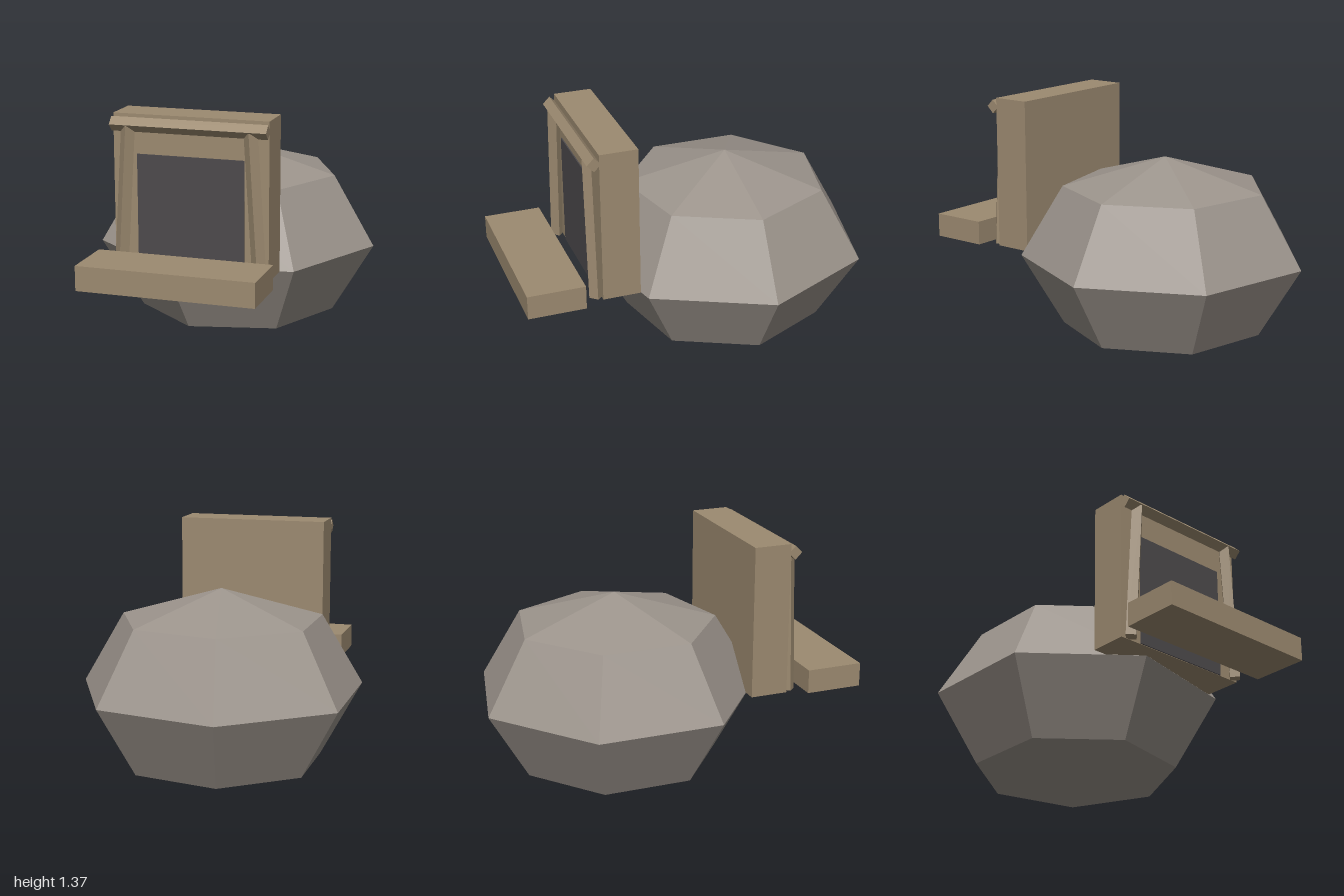
import * as THREE from 'three';

export function createModel() {
  const wood = new THREE.MeshStandardMaterial({ color: 0x9c8a70 });
  wood.name = 'tan wood';
  const stone = new THREE.MeshStandardMaterial({ color: 0x9c948c });
  stone.name = 'grey stone';
  const dark = new THREE.MeshStandardMaterial({ color: 0x4d4a4c });
  dark.name = 'dark opening';

  const group = new THREE.Group();
  group.name = 'stoneHutWithDoorway';
  const CX = -0.04; // shared centre line

  const add = (name, geometry, material, x, y, z) => {
    const mesh = new THREE.Mesh(geometry, material);
    mesh.name = name;
    mesh.position.set(x, y, z);
    group.add(mesh);
    return mesh;
  };

  // seven-sided boulder, flat facets
  const boulder = new THREE.SphereGeometry(1, 7, 4)
    .rotateY(Math.PI)
    .scale(0.775, 0.543, 0.775)
    .toNonIndexed();
  boulder.computeVertexNormals();
  add('boulder', boulder, stone, CX, 0.546, -0.245);

  // door block, dark opening and front step
  add('doorBlock', new THREE.BoxGeometry(0.825, 0.827, 0.205), wood, CX, 0.9605, 0.483);
  add('doorOpening', new THREE.BoxGeometry(0.57, 0.62, 0.008), dark, CX, 0.859, 0.588);
  add('doorStep', new THREE.BoxGeometry(0.93, 0.13, 0.31), wood, CX, 0.611, 0.845);

  // lintel: square bar turned onto its edge
  const SIDE = 0.053;
  const lintel = add('lintel', new THREE.BoxGeometry(0.825, SIDE, SIDE), wood, CX, 1.324, 0.612);
  lintel.rotation.x = Math.PI / 4;

  // posts: square bars turned onto their edges, leaning in towards the top
  for (const side of [-1, 1]) {
    const post = new THREE.BoxGeometry(SIDE, 0.772, SIDE).rotateY(Math.PI / 4);
    const mesh = add(side < 0 ? 'rightPost' : 'leftPost', post, wood, CX + side * 0.348, 0.934, 0.612);
    mesh.rotation.z = side * 0.064;
  }

  return group;
}
